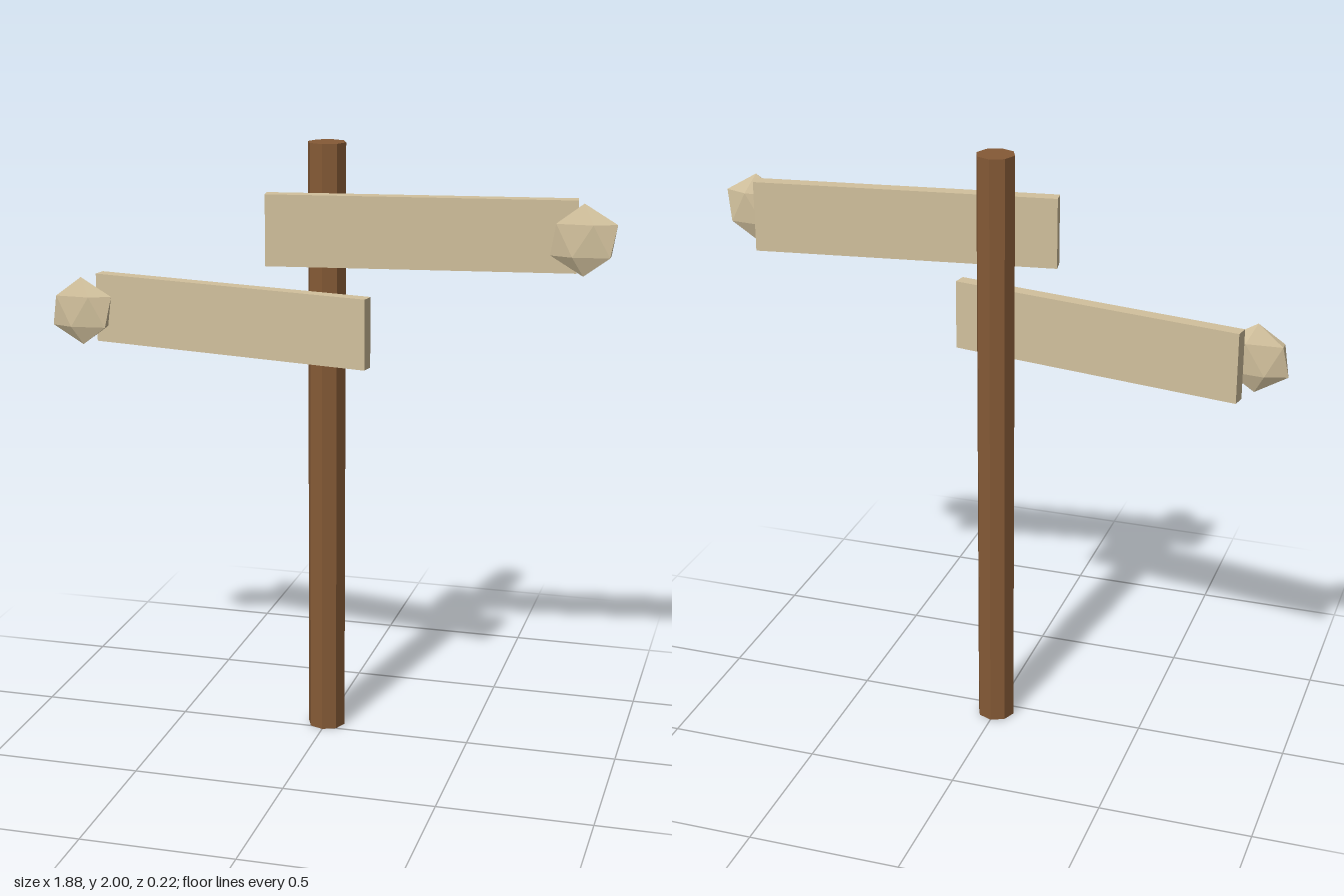
import * as THREE from 'three';

export function createModel() {
  const group = new THREE.Group();
  const postWood = new THREE.MeshStandardMaterial({ color: 0x855a36, flatShading: true });
  postWood.name = 'brown post wood';
  const signWood = new THREE.MeshStandardMaterial({ color: 0xd2c19d, flatShading: true });
  signWood.name = 'pale sign wood';

  function add(name, geometry, material, x, y, z) {
    const mesh = new THREE.Mesh(geometry, material);
    mesh.name = name;
    mesh.position.set(x, y, z);
    group.add(mesh);
    return mesh;
  }

  // Eight-sided upright
  add('post', new THREE.CylinderGeometry(0.063, 0.063, 2, 8), postWood, 0, 1, -0.045);

  // Two angled boards, each with a flattened faceted tip
  const boardShape = new THREE.BoxGeometry(0.988, 0.231, 0.046);
  const tipShape = new THREE.IcosahedronGeometry(0.117, 0)
    .rotateZ(THREE.MathUtils.degToRad(-31))
    .scale(1, 0.98, 0.25);
  const signs = [
    { name: 'upper', side: 1, y: 1.73, angle: 8 },
    { name: 'lower', side: -1, y: 1.412, angle: 10 },
  ];
  for (const { name, side, y, angle } of signs) {
    const board = add(name + 'Board', boardShape, signWood, side * 0.318, y, 0);
    board.rotation.y = side * THREE.MathUtils.degToRad(angle);
    add(name + 'Tip', tipShape, signWood, side * 0.836, y, 0);
  }
  return group;
}
